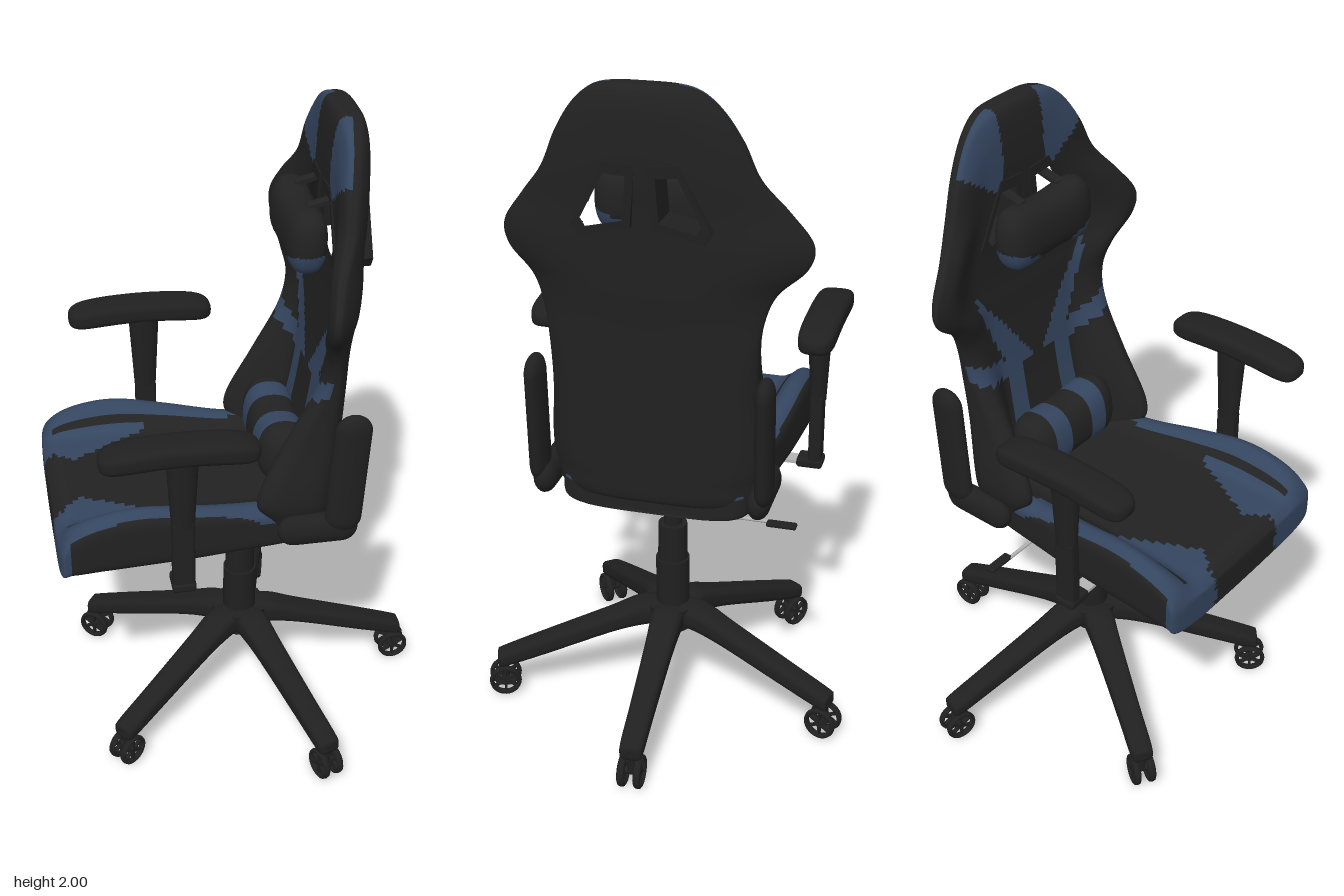
import * as THREE from 'three';
import { RoundedBoxGeometry } from 'three/addons/geometries/RoundedBoxGeometry.js';

const { smoothstep } = THREE.MathUtils;
const mat = (name, color) => Object.assign(new THREE.MeshStandardMaterial({ color }), { name });

// Rounded square of half size 1; a larger n gives tighter corners
function roundedSquare(a, n) {
  const c = Math.cos(a), s = Math.sin(a);
  const r = (Math.abs(c) ** n + Math.abs(s) ** n) ** (-1 / n);
  return [r * c, r * s];
}

// Smooth interpolation through table rows, t from 0 to 1
function sample(rows, t) {
  const f = t * (rows.length - 1), i = Math.min(Math.floor(f), rows.length - 2), k = f - i;
  const at = (j) => rows[Math.min(Math.max(j, 0), rows.length - 1)];
  return rows[i].map((p1, c) => {
    const p0 = at(i - 1)[c], p2 = at(i + 1)[c], p3 = at(i + 2)[c];
    return p1 + 0.5 * k * (p2 - p0 + k * (2 * p0 - 5 * p1 + 4 * p2 - p3 + k * (3 * (p1 - p2) + p3 - p0)));
  });
}

// Closed skin over rings; paint picks a material per quad, -1 leaves a gap
function loft(segs, rings, point, paint = () => 0) {
  const pos = [], lists = [[], []];
  for (let j = 0; j <= rings; j++)
    for (let i = 0; i < segs; i++) pos.push(...point((i / segs) * Math.PI * 2, j / rings));
  const P = (i) => new THREE.Vector3().fromArray(pos, i * 3);
  let volume = 0;
  for (let j = 0; j < rings; j++)
    for (let i = 0; i < segs; i++) {
      const a = j * segs + i, b = j * segs + (i + 1) % segs, c = b + segs, d = a + segs;
      const mid = P(a).add(P(b)).add(P(c)).add(P(d)).multiplyScalar(0.25);
      const m = paint(mid, ((i + 0.5) / segs) * Math.PI * 2);
      for (const tri of [[a, b, c], [a, c, d]]) {
        volume += P(tri[0]).dot(P(tri[1]).cross(P(tri[2])));
        if (m >= 0) lists[m].push(tri);
      }
    }
  if (volume < 0) lists.forEach((l) => l.forEach((tri) => tri.reverse()));
  const g = new THREE.BufferGeometry();
  g.setAttribute('position', new THREE.Float32BufferAttribute(pos, 3));
  g.setIndex(lists.flat(2));
  g.addGroup(0, lists[0].length * 3, 0);
  g.addGroup(lists[0].length * 3, lists[1].length * 3, 1);
  g.computeVertexNormals();
  return g;
}

export function createModel() {
  const fabric = mat('black fabric', 0x222222), blue = mat('blue fabric', 0x34455f);
  const plastic = mat('black plastic', 0x202020), metal = mat('grey metal', 0xb4b4b4);
  const cloth = [fabric, blue];
  const model = new THREE.Group(), base = new THREE.Group(), top = new THREE.Group();
  model.name = 'chair'; base.name = 'base'; top.name = 'swivelledTop';
  base.position.set(0.045, 0, -0.085);
  top.position.copy(base.position);
  top.rotation.y = -0.668;
  model.add(base, top);
  const add = (parent, name, geo, material, x = 0, y = 0, z = 0) => {
    const m = new THREE.Mesh(geo, material);
    m.name = name; m.position.set(x, y, z); parent.add(m);
    return m;
  };
  const cyl = (r1, r2, h, n = 24) => new THREE.CylinderGeometry(r1, r2, h, n);

  // Gas lift and hub
  add(base, 'lowerColumn', cyl(0.052, 0.052, 0.16), plastic, 0, 0.38, 0);
  add(base, 'middleColumn', cyl(0.044, 0.046, 0.12), plastic, 0, 0.52, 0);
  add(base, 'piston', cyl(0.028, 0.028, 0.15), plastic, 0, 0.65, 0);
  add(base, 'hub', cyl(0.09, 0.075, 0.08, 10), plastic, 0, 0.27, 0);

  // Five legs with twin spoked casters
  const legRows = [[0.03, 0.05, 0.31, 0.24], [0.1, 0.047, 0.31, 0.235], [0.2, 0.042, 0.272, 0.21],
    [0.4, 0.036, 0.2, 0.14], [0.53, 0.034, 0.15, 0.1], [0.55, 0.025, 0.14, 0.105], [0.55, 0, 0.12, 0.12]];
  const legGeo = loft(20, 24, (a, t) => {
    const [r, w, hi, lo] = sample(legRows, t), [u, v] = roundedSquare(a, 5);
    return [u * w, (hi + lo) / 2 + v * (hi - lo) / 2, r];
  });
  for (let k = 0; k < 5; k++) {
    const leg = new THREE.Group();
    leg.name = 'leg'; leg.rotation.y = (k * Math.PI * 2) / 5; base.add(leg);
    add(leg, 'legBeam', legGeo, plastic);
    add(leg, 'casterStem', cyl(0.012, 0.012, 0.08, 12), plastic, 0, 0.09, 0.53);
    add(leg, 'casterAxle', cyl(0.012, 0.012, 0.06, 12), plastic, 0, 0.05, 0.53).rotation.z = Math.PI / 2;
    for (const s of [-1, 1]) {
      const rim = add(leg, 'casterRim', new THREE.TorusGeometry(0.043, 0.007, 8, 28), plastic, s * 0.024, 0.05, 0.53);
      rim.rotation.y = Math.PI / 2; rim.scale.z = 1.6;
      for (let i = 0; i < 3; i++)
        add(leg, 'casterSpokes', new THREE.BoxGeometry(0.012, 0.084, 0.007), plastic, s * 0.024, 0.05, 0.53).rotation.x = (i * Math.PI) / 3;
    }
  }

  // Seat: rows of depth, half width, cushion height, bolster rise
  const seatRows = [[-0.22, 0, 0.8, 0], [-0.22, 0.25, 0.84, 0], [-0.1, 0.285, 0.855, 0.02], [0.05, 0.305, 0.86, 0.035],
    [0.2, 0.325, 0.865, 0.06], [0.35, 0.338, 0.865, 0.085], [0.47, 0.343, 0.86, 0.075], [0.55, 0.342, 0.855, 0.04],
    [0.585, 0.325, 0.83, 0.01], [0.59, 0.16, 0.81, 0], [0.59, 0, 0.8, 0]];
  const seatPaint = (p, a) => {
    const u = Math.abs(p.x), half = 0.305 + 0.09 * Math.min(Math.max(p.z - 0.05, 0), 0.4), q = u / half;
    if (p.z > 0.555) return u > 0.15 ? 1 : 0;
    if (Math.sin(a) < 0.35) return 0;
    if (q > 0.77) return q < 0.98 ? 1 : 0;
    const edge = p.z < 0.5 ? 0.26 - (p.z - 0.2) * 0.533 : 0.1 + (p.z - 0.5) * 0.7;
    return p.z > 0.2 && u > edge && q < 0.73 ? 1 : 0;
  };
  add(top, 'seat', loft(160, 90, (a, t) => {
    const [z, w, h, rise] = sample(seatRows, t), [u, v] = roundedSquare(a, 6);
    const hi = h + rise * smoothstep(Math.abs(u), 0.62, 0.88), lo = w < 0.01 ? hi : 0.73;
    return [u * w, (hi + lo) / 2 + v * (hi - lo) / 2, z];
  }, seatPaint), cloth);

  // Backrest: rows of height, half width, back, back curl, front, wing depth
  const backRows = [[0.77, 0, -0.2, 0, -0.19, 0], [0.775, 0.26, -0.24, 0.02, -0.14, 0.07], [0.85, 0.305, -0.25, 0.02, -0.14, 0.15],
    [0.93, 0.318, -0.255, 0.02, -0.15, 0.18], [1.1, 0.302, -0.265, 0.02, -0.18, 0.12], [1.25, 0.3, -0.275, 0.03, -0.2, 0.05],
    [1.35, 0.312, -0.285, 0.05, -0.21, 0.03], [1.43, 0.345, -0.295, 0.07, -0.215, 0.05], [1.5, 0.42, -0.3, 0.1, -0.22, 0.07],
    [1.57, 0.432, -0.305, 0.11, -0.22, 0.07], [1.66, 0.37, -0.31, 0.09, -0.22, 0.05], [1.75, 0.3, -0.32, 0.06, -0.22, 0.02],
    [1.85, 0.255, -0.325, 0.05, -0.22, 0.01], [1.93, 0.205, -0.325, 0.04, -0.225, 0], [1.98, 0.15, -0.315, 0.02, -0.235, 0],
    [1.998, 0.09, -0.3, 0, -0.25, 0], [2, 0, -0.275, 0, -0.275, 0]];
  const holePoints = [[0.035, 1.77], [0.1, 1.775], [0.17, 1.64], [0.155, 1.615], [0.045, 1.64]];
  const scaled = (k, s = 1) => holePoints.map(([x, y]) => [s * (0.1 + (x - 0.1) * k), 1.69 + (y - 1.69) * k]);
  const gap = scaled(1.12);
  const inGap = (x, y) => gap.every(([ax, ay], i) => {
    const [bx, by] = gap[(i + 1) % gap.length];
    return (bx - ax) * (y - ay) - (by - ay) * (x - ax) < 0;
  });
  const backPaint = (p, a) => {
    const u = Math.abs(p.x), y = p.y;
    if (inGap(u, y)) return -1;
    if (Math.sin(a) < 0.1) return 0;
    if (y > 1.76 + (u - 0.1) * 0.7 && u > 0.085) return 1;
    const stripe = Math.abs(u - 0.07 - (y - 1.2) * 0.57) < 0.01 + 0.16 * (1.48 - y);
    if (y > 1.2 && y < 1.48 && stripe) return 1;
    if (u > 0.08 && u < 0.31 && Math.abs(y - 1.19 - (u - 0.1) * 0.42) < 0.028) return 1;
    return u > 0.07 && u < 0.14 && y > 1 && y < 1.2 ? 1 : 0;
  };
  add(top, 'backrest', loft(160, 128, (a, t) => {
    const [y, w, back, curl, front, wing] = sample(backRows, t), [u, v] = roundedSquare(a, 4);
    const q = Math.abs(u), b = back + curl * q ** 3, f = front + wing * smoothstep(q, 0.5, 0.9);
    return [u * w, y, (b + f) / 2 + v * (f - b) / 2];
  }, backPaint), cloth);

  // Trim around the two strap openings
  const vec = (list) => list.map(([x, y]) => new THREE.Vector2(x, y));
  for (const s of [-1, 1]) {
    const ring = new THREE.Shape(vec(scaled(1.3, s)));
    ring.holes.push(new THREE.Path(vec(scaled(0.92, s))));
    add(top, 'openingTrim', new THREE.ExtrudeGeometry(ring, { depth: 0.108, bevelEnabled: false }), plastic, 0, 0, -0.324);
    const strap = add(top, 'pillowStrap', new THREE.BoxGeometry(0.03, 0.012, 0.11), fabric, s * 0.08, 1.755, -0.215);
    strap.rotation.x = 0.25;
  }

  // Pillows, taller at the ends
  const pillow = (w, h, d, paint) => loft(48, 64, (a, t) => {
    const x = -Math.cos(t * Math.PI), e = Math.sqrt(Math.max(0, 1 - x ** 6)), [u, v] = roundedSquare(a, 2.5);
    return [x * w, v * h * e * (0.8 + 0.27 * x * x), u * d * e];
  }, paint);
  add(top, 'headPillow', pillow(0.175, 0.105, 0.06, (p) =>
    (Math.abs(p.x) > 0.07 && p.y < -0.03 - (0.16 - Math.abs(p.x)) * 0.3 ? 1 : 0)), cloth, 0, 1.655, -0.155);
  add(top, 'lumbarPillow', pillow(0.19, 0.108, 0.075, (p) =>
    (Math.abs(Math.abs(p.x) - 0.08) < 0.036 ? 1 : 0)), cloth, 0, 0.975, -0.1).rotation.x = -0.1;

  // Armrests and recline hinge covers on both sides
  const padGeo = loft(32, 32, (a, t) => {
    const k = -Math.cos(t * Math.PI), e = (1 - Math.abs(k) ** 8) ** 0.35, [u, v] = roundedSquare(a, 4);
    return [u * 0.055 * e, 1.203 - 0.018 * k * k + v * 0.033 * e, 0.25 + k * 0.225];
  });
  for (const s of [-1, 1]) {
    const arm = new THREE.Group();
    arm.name = s > 0 ? 'leftArm' : 'rightArm'; top.add(arm);
    add(arm, 'armPad', padGeo, plastic, s * 0.405);
    add(arm, 'armSleeve', cyl(0.048, 0.034, 0.25, 16), plastic, s * 0.39, 1.06, 0.24).scale.x = 0.75;
    add(arm, 'armPost', new RoundedBoxGeometry(0.04, 0.24, 0.066, 3, 0.012), plastic, s * 0.39, 0.835, 0.24);
    add(arm, 'armFoot', new RoundedBoxGeometry(0.08, 0.03, 0.07, 3, 0.01), plastic, s * 0.375, 0.725, 0.24);
    add(arm, 'armBracket', new THREE.BoxGeometry(0.26, 0.01, 0.05), metal, s * 0.22, 0.723, 0.24);
    const cover = add(top, 'hingeCover', new THREE.CapsuleGeometry(0.055, 0.29, 8, 20), plastic, s * 0.33, 1.01, -0.25);
    cover.scale.x = 0.5; cover.rotation.x = -0.06;
    const knuckle = add(top, 'hingeKnuckle', new THREE.CapsuleGeometry(0.05, 0.14, 8, 20), plastic, s * 0.315, 0.82, -0.17);
    knuckle.rotation.x = Math.PI / 2; knuckle.scale.x = 0.7;
  }

  // Mounting plate and height lever
  add(top, 'mountPlate', new THREE.BoxGeometry(0.16, 0.014, 0.3), metal, 0, 0.722, 0);
  add(top, 'crossPlate', new THREE.BoxGeometry(0.26, 0.012, 0.08), metal, 0, 0.723, 0.16);
  add(top, 'leverRod', cyl(0.006, 0.006, 0.31, 10), metal, -0.16, 0.66, -0.06).rotation.z = Math.PI / 2;
  add(top, 'leverHandle', new RoundedBoxGeometry(0.09, 0.014, 0.03, 2, 0.006), plastic, -0.35, 0.66, -0.07);
  return model;
}
